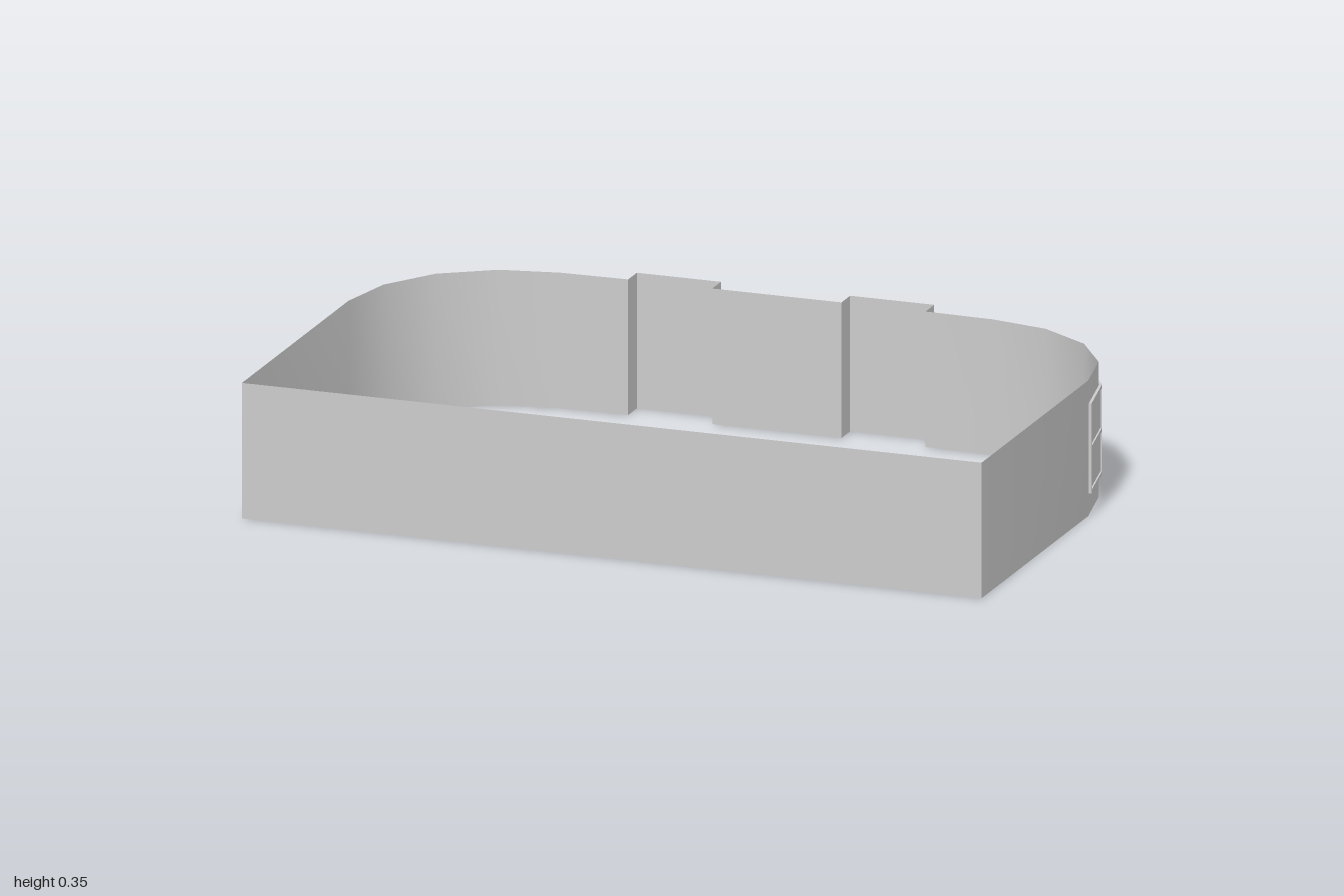
import * as THREE from 'three';
import { toCreasedNormals } from 'three/addons/utils/BufferGeometryUtils.js';

const HEIGHT = 0.355;
const material = new THREE.MeshStandardMaterial({ color: 0xcccccc, side: THREE.DoubleSide });

// plan points [x, z] of the rounded back corner, from side wall to back wall
const corner = [[0.99, -0.14], [0.957, -0.303], [0.868, -0.437], [0.732, -0.525], [0.58, -0.555]];
const mirror = points => points.map(([x, z]) => [-x, z]).reverse();

// closed vertical strip of wall following a plan outline
function wallGeometry(points) {
  const position = [];
  points.forEach(([x0, z0], i) => {
    const [x1, z1] = points[(i + 1) % points.length];
    position.push(x0, 0, z0, x1, 0, z1, x1, HEIGHT, z1);
    position.push(x0, 0, z0, x1, HEIGHT, z1, x0, HEIGHT, z0);
  });
  const geometry = new THREE.BufferGeometry();
  geometry.setAttribute('position', new THREE.Float32BufferAttribute(position, 3));
  geometry.computeVertexNormals();
  return toCreasedNormals(geometry, 0.6);
}

function rectangle(Type, x0, y0, x1, y1) {
  return new Type([[x0, y0], [x1, y0], [x1, y1], [x0, y1]].map(p => new THREE.Vector2(...p)));
}

// one flat window panel with an upper and a lower pane, standing on the wall from p to q
function windowPanel(p, q, startBar, endBar) {
  const [dx, dz] = [q[0] - p[0], q[1] - p[1]];
  const half = Math.hypot(dx, dz) / 2 + 0.001;
  const [bottom, middle, top] = [0.06, 0.178, 0.296];

  const outline = rectangle(THREE.Shape, -half, bottom, half, top);
  const [left, right] = [-half + startBar, half - endBar];
  outline.holes.push(
    rectangle(THREE.Path, left, bottom + 0.009, right, middle - 0.005),
    rectangle(THREE.Path, left, middle + 0.005, right, top - 0.009)
  );
  const frame = new THREE.Mesh(
    new THREE.ExtrudeGeometry(outline, { depth: 0.007, bevelEnabled: false }), material);
  frame.name = 'windowFrame';
  frame.position.z = 0.002;

  const glass = new THREE.Mesh(new THREE.PlaneGeometry(2 * half, top - bottom), material);
  glass.name = 'windowGlass';
  glass.position.set(0, middle, 0.005);

  const panel = new THREE.Group();
  panel.name = 'windowPanel';
  panel.add(frame, glass);
  panel.position.set((p[0] + q[0]) / 2, 0, (p[1] + q[1]) / 2);
  panel.rotation.y = Math.atan2(-dz, dx);
  return panel;
}

// row of panels along a path, with wider bars at both ends
function windowRow(name, points) {
  const group = new THREE.Group();
  group.name = name;
  const last = points.length - 2;
  for (let i = 0; i <= last; i++) {
    group.add(windowPanel(points[i], points[i + 1], i === 0 ? 0.009 : 0.004, i === last ? 0.009 : 0.004));
  }
  return group;
}

export function createModel() {
  const model = new THREE.Group();
  model.name = 'walledRoom';

  // left half of the outline: front corner, rounded corner, pillar
  const leftHalf = [
    [0.99, 0.622], ...corner,
    [0.398, -0.56], [0.398, -0.622], [0.173, -0.622], [0.173, -0.56]
  ];
  const walls = new THREE.Mesh(wallGeometry([...leftHalf, ...mirror(leftHalf)]), material);
  walls.name = 'walls';

  // paths run so that each panel faces away from the room
  model.add(
    walls,
    windowRow('leftCurvedWindow', corner),
    windowRow('rightCurvedWindow', mirror(corner)),
    windowRow('centreWindow', [[0.08, -0.56], [0, -0.56], [-0.08, -0.56]])
  );
  return model;
}
